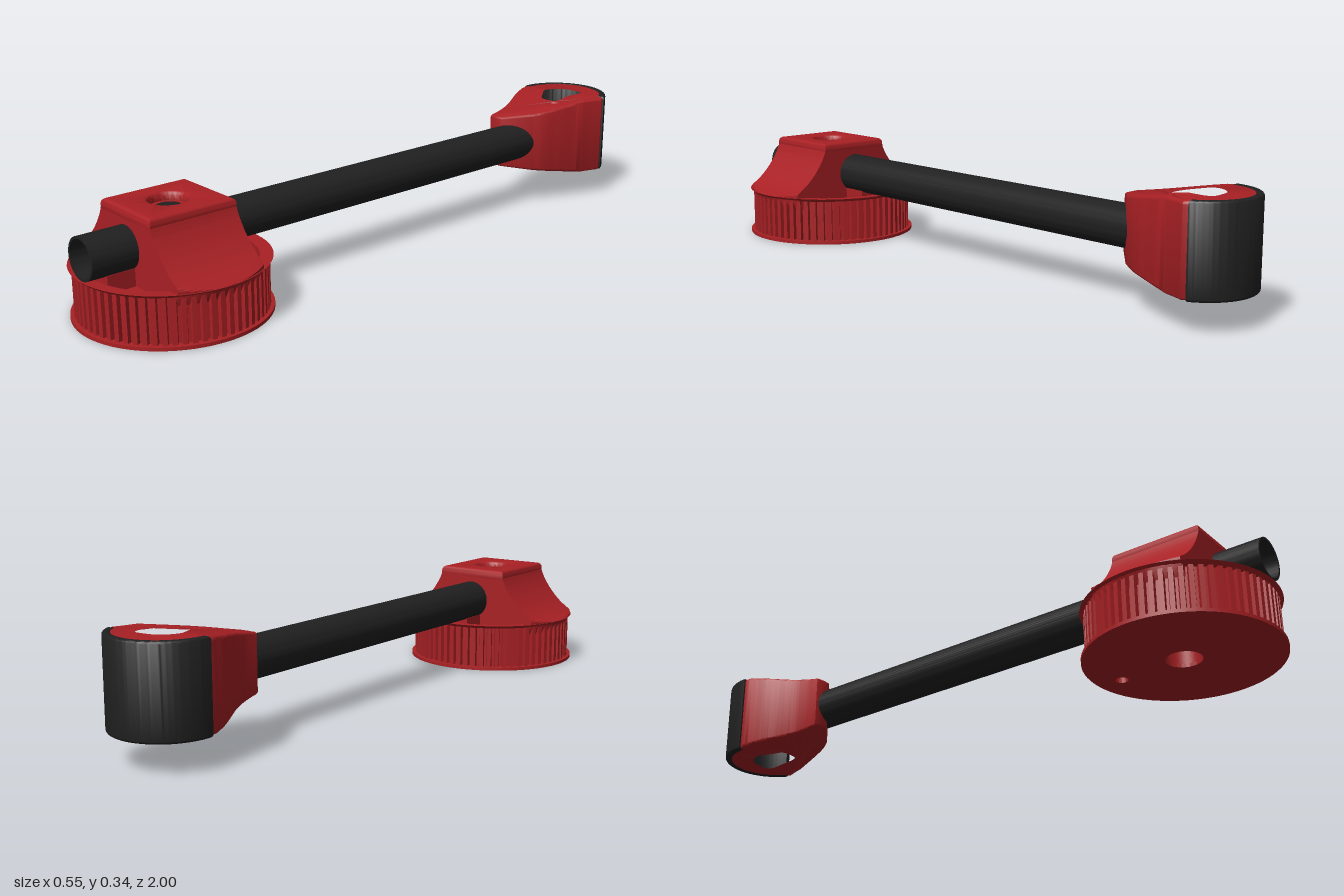
import * as THREE from 'three';
import { toCreasedNormals } from 'three/addons/utils/BufferGeometryUtils.js';

const RED = new THREE.MeshStandardMaterial({ color: 0xa82024 });
const BLACK = new THREE.MeshStandardMaterial({ color: 0x202020 });
const BLACK_THIN = new THREE.MeshStandardMaterial({ color: 0x202020, side: THREE.DoubleSide });
const HUB_Z = 0.725;   // pulley axis
const TUBE_Y = 0.21;   // tube axis

function add(group, name, geometry, material) {
  const mesh = new THREE.Mesh(geometry, material);
  mesh.name = name;
  group.add(mesh);
  return mesh;
}

function circleHole(x, y, r) {
  return new THREE.Path().absarc(x, y, r, 0, Math.PI * 2, true);
}

function disc(r) {
  return new THREE.Shape().absarc(0, 0, r, 0, Math.PI * 2, false);
}

// Extrude a plan shape (x, -z) upwards between two heights, with a rounded edge
function extrudeUp(shape, y0, y1, bevel = 0) {
  const g = new THREE.ExtrudeGeometry(shape, {
    depth: y1 - y0 - 2 * bevel, curveSegments: 40, bevelEnabled: bevel > 0,
    bevelSize: bevel, bevelThickness: bevel, bevelOffset: -bevel, bevelSegments: 4,
  });
  g.translate(0, 0, bevel + y0);
  g.rotateX(-Math.PI / 2);
  return g;
}

function smooth(g) {
  return toCreasedNormals(g, 0.6);
}

// Outline of the toothed belt wheel
function toothedShape(teeth, outer, inner) {
  const steps = [[0, outer], [0.5, outer], [0.6, inner], [0.9, inner]];
  const pts = [];
  for (let i = 0; i < teeth; i++) {
    for (const [f, r] of steps) {
      const a = ((i + f) / teeth) * Math.PI * 2;
      pts.push(new THREE.Vector2(Math.cos(a) * r, Math.sin(a) * r));
    }
  }
  return new THREE.Shape(pts);
}

function buildPulley() {
  const pulley = new THREE.Group();
  pulley.name = 'pulley';
  pulley.position.z = HUB_Z;
  const bores = () => [circleHole(0, 0, 0.05), circleHole(0.01, 0.2, 0.018)];

  const flange = disc(0.273);
  flange.holes = bores();
  add(pulley, 'lowerFlange', smooth(extrudeUp(flange, 0, 0.01)), RED);

  const body = toothedShape(64, 0.262, 0.25);
  body.holes = bores();
  add(pulley, 'toothedBody', extrudeUp(body, 0.01, 0.11), RED);

  const rim = toothedShape(64, 0.262, 0.25);
  rim.holes = [circleHole(0, 0, 0.235)];
  add(pulley, 'toothedRim', extrudeUp(rim, 0.11, 0.141), RED);

  // Flared upper lip
  const lip = [[0.235, 0.139], [0.262, 0.139], [0.272, 0.148], [0.235, 0.146], [0.235, 0.139]];
  const lipGeo = new THREE.LatheGeometry(lip.map(([x, y]) => new THREE.Vector2(x, y)), 80);
  add(pulley, 'upperLip', smooth(lipGeo), RED);

  // Cradle under the tube
  const cradle = add(pulley, 'tubeCradle', new THREE.BoxGeometry(0.07, 0.06, 0.43), RED);
  cradle.position.y = 0.13;
  return pulley;
}

function buildClamp() {
  const clamp = new THREE.Group();
  clamp.name = 'clamp';
  clamp.position.z = HUB_Z;

  // Flared front profile, mirrored, with the tube bore through it
  const flare = [[0.268, 0.148], [0.23, 0.163], [0.19, 0.191], [0.155, 0.228], [0.13, 0.265], [0.119, 0.29]];
  const right = new THREE.SplineCurve(flare.map(([x, y]) => new THREE.Vector2(x, y))).getPoints(24);
  const left = right.map((p) => new THREE.Vector2(-p.x, p.y)).reverse();
  const low = [new THREE.Vector2(-0.262, 0.1), new THREE.Vector2(0.262, 0.1)];
  const profile = new THREE.Shape([...low, ...right, ...left]);
  profile.holes = [circleHole(0, TUBE_Y, 0.059)];
  const g = new THREE.ExtrudeGeometry(profile, { depth: 0.266, steps: 12, curveSegments: 32, bevelEnabled: false });
  g.translate(0, 0, -0.133);
  // Trim the outer ends to the round of the pulley
  const p = g.attributes.position;
  for (let i = 0; i < p.count; i++) {
    const r = p.getY(i) < 0.14 ? 0.245 : 0.268;
    const limit = Math.sqrt(r * r - p.getZ(i) ** 2);
    p.setX(i, THREE.MathUtils.clamp(p.getX(i), -limit, limit));
  }
  g.computeVertexNormals();
  add(clamp, 'clampBody', smooth(g), RED);

  // Top pad with a stepped screw bore
  const top = new THREE.Shape();
  const w = 0.119, d = 0.133;
  top.moveTo(-w, -d).lineTo(w, -d).lineTo(w, d).lineTo(-w, d).closePath();
  top.holes = [circleHole(0, 0, 0.052)];
  const topGeo = extrudeUp(top, 0.272, 0.314, 0.014);
  add(clamp, 'clampTop', smooth(topGeo), RED);
  const seat = add(clamp, 'boltHole', new THREE.CircleGeometry(0.036, 32), BLACK);
  seat.rotation.x = -Math.PI / 2;
  seat.position.y = 0.2915;

  // Post through the tube
  const post = add(clamp, 'post', new THREE.CylinderGeometry(0.03, 0.03, 0.118, 32), RED);
  post.position.y = TUBE_Y;
  return clamp;
}

function buildTube() {
  const z0 = -0.7, z1 = 0.993;
  const wall = [[0.06, z0], [0.06, z1], [0.053, z1], [0.053, z0]];
  const g = new THREE.LatheGeometry(wall.map(([r, z]) => new THREE.Vector2(r, z)), 48);
  g.rotateX(Math.PI / 2);
  g.translate(0, TUBE_Y, 0);
  const tube = new THREE.Mesh(smooth(g), BLACK_THIN);
  tube.name = 'tube';
  return tube;
}

function buildFoot() {
  const foot = new THREE.Group();
  foot.name = 'foot';
  const cy = 0.848, from = 3.19, to = 0.42;
  const v = (a) => a.map(([x, y]) => new THREE.Vector2(x, y));

  // Lopsided teardrop with a rounded window
  const s = new THREE.Shape();
  s.moveTo(-0.068, 0.58);
  s.splineThru(v([[-0.074, 0.63], [-0.09, 0.685], [-0.132, 0.77], [-0.148, 0.82]]));
  s.absarc(0, cy, 0.147, from, to, true);
  s.lineTo(0.142, 0.895);
  s.splineThru(v([[0.127, 0.85], [0.105, 0.77], [0.08, 0.69], [0.055, 0.645]]));
  s.lineTo(-0.015, 0.578);
  s.quadraticCurveTo(-0.04, 0.57, -0.068, 0.58);
  const window = new THREE.CatmullRomCurve3(
    [[-0.037, 0.908], [0, 0.918], [0.042, 0.918], [0.056, 0.897], [0.055, 0.84], [0.053, 0.78],
      [0.042, 0.767], [-0.022, 0.767], [-0.045, 0.795], [-0.072, 0.84], [-0.067, 0.872]]
      .map(([x, y]) => new THREE.Vector3(x, y, 0)), true);
  s.holes = [new THREE.Path(window.getPoints(44).slice(0, -1).map((q) => new THREE.Vector2(q.x, q.y)))];
  const g = extrudeUp(s, 0.087, 0.337, 0.01);

  // Taper the height towards the tube
  const p = g.attributes.position;
  for (let i = 0; i < p.count; i++) {
    const t = THREE.MathUtils.clamp((p.getZ(i) + 0.83) / 0.26, 0, 1);
    p.setY(i, 0.212 + (p.getY(i) - 0.212) * (1 - 0.34 * t));
  }
  g.computeVertexNormals();
  add(foot, 'footBody', smooth(g), RED);

  // Rubber sole wrapped round the end
  const sole = new THREE.Shape();
  sole.absarc(0, cy, 0.152, to, from, false);
  sole.absarc(0, cy, 0.128, from, to, true);
  sole.closePath();
  add(foot, 'footSole', smooth(extrudeUp(sole, 0.085, 0.339, 0.008)), BLACK);
  return foot;
}

export function createModel() {
  const model = new THREE.Group();
  model.name = 'legAssembly';
  model.add(buildPulley(), buildClamp(), buildTube(), buildFoot());
  return model;
}
